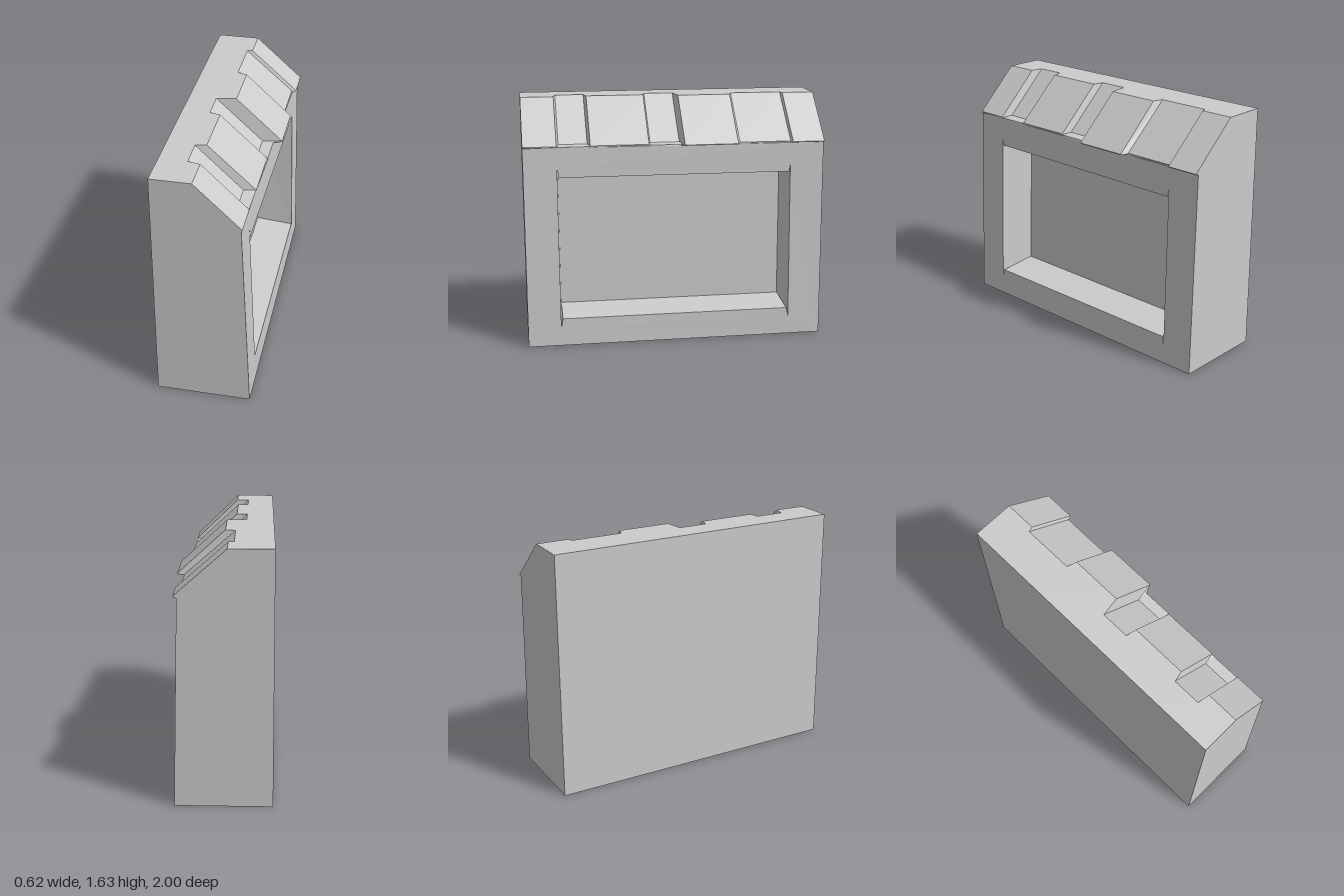
import * as THREE from 'three';

const material = new THREE.MeshStandardMaterial({ color: 0xcccccc, flatShading: true });

const FACE_TOP = 1.335, TOP = 1.63, BACK_X = -0.315, BACK_TOP_X = -0.31;

// x of the slightly twisted, leaning panel face
const faceX = (y, z) => 0.3 - (y / FACE_TOP) * (0.045 + 0.015 * z);

// Mesh from convex polygons, each a counter-clockwise list of [x, y, z]
function polygonMesh(name, polygons) {
  const pos = [];
  for (const p of polygons)
    for (let i = 1; i < p.length - 1; i++) pos.push(...p[0], ...p[i], ...p[i + 1]);
  const geo = new THREE.BufferGeometry();
  geo.setAttribute('position', new THREE.Float32BufferAttribute(pos, 3));
  geo.computeVertexNormals();
  const mesh = new THREE.Mesh(geo, material);
  mesh.name = name;
  return mesh;
}

// Roof strips: [z start, z end, x at the crown, x at the slope's foot, x at the eave]
const strips = [
  [-1.0, -0.785, -0.03, 0.292, 0.292],
  [-0.775, -0.43, -0.065, 0.262, 0.262],
  [-0.41, -0.055, 0.0, 0.31, 0.31],
  [-0.035, 0.16, -0.13, 0.18, 0.252],
  [0.175, 0.56, -0.06, 0.248, 0.248],
  [0.575, 0.765, -0.13, 0.17, 0.244],
  [0.78, 1.0, -0.05, 0.246, 0.246],
];

// Roof profile at one z: back edge, crown, slope foot, eave, top of face
function roofProfile(z, crown, foot, eave) {
  return [
    [BACK_TOP_X, TOP, z],
    [crown, TOP, z],
    [foot, 1.345, z],
    [eave, 1.34, z],
    [faceX(FACE_TOP, z), FACE_TOP, z],
  ];
}

export function createModel() {
  const group = new THREE.Group();

  // Stepped roof: profiles lofted along z
  const rows = strips.flatMap(([z0, z1, ...x]) => [roofProfile(z0, ...x), roofProfile(z1, ...x)]);
  const roof = [];
  for (let r = 0; r < rows.length - 1; r++)
    for (let i = 0; i < 4; i++)
      roof.push([rows[r][i], rows[r + 1][i], rows[r + 1][i + 1], rows[r][i + 1]]);
  group.add(polygonMesh('steppedRoof', roof));

  // Back, base and the two end walls
  const endWall = (row, z) => [[BACK_X, 0, z], [0.3, 0, z], ...[...row].reverse()];
  const backWall = [[BACK_X, 0, -1], [BACK_X, 0, 1], [BACK_TOP_X, TOP, 1], [BACK_TOP_X, TOP, -1]];
  const base = [[BACK_X, 0, -1], [0.3, 0, -1], [0.3, 0, 1], [BACK_X, 0, 1]];
  group.add(polygonMesh('bodyWalls', [
    endWall(rows[rows.length - 1], 1),
    endWall(rows[0], -1).reverse(),
    backWall,
    base,
  ]));

  // Opening outline as [z, y], with thin notches at its corners
  const opening = [
    [0.78, 0.12], [0.768, 0.185], [-0.768, 0.185], [-0.78, 0.13],
    [-0.775, 1.19], [-0.768, 1.14], [0.768, 1.14], [0.78, 1.2],
  ];

  // Face frame around the opening
  const toPoint = ([z, y]) => new THREE.Vector2(-z, y);
  const shape = new THREE.Shape([[1, 0], [-1, 0], [-1, FACE_TOP], [1, FACE_TOP]].map(toPoint));
  shape.holes.push(new THREE.Path(opening.map(toPoint)));
  const frameGeo = new THREE.ShapeGeometry(shape);
  const p = frameGeo.attributes.position;
  for (let i = 0; i < p.count; i++) {
    const z = -p.getX(i), y = p.getY(i);
    p.setXYZ(i, faceX(y, z), y, z);
  }
  frameGeo.computeVertexNormals();
  const frame = new THREE.Mesh(frameGeo, material);
  frame.name = 'faceFrame';
  group.add(frame);

  // Recess: walls tapering to a sunken panel
  const sunken = (z, y) => [faceX(y, z) - 0.265, y, z];
  const panel = [sunken(0.765, 0.21), sunken(-0.765, 0.21), sunken(-0.765, 1.12), sunken(0.765, 1.12)];
  const outer = opening.map(([z, y]) => [faceX(y, z), y, z]);
  const inner = [0, 0, 1, 1, 2, 2, 3, 3].map((i) => panel[i]);
  const walls = outer.map((a, i) => {
    const j = (i + 1) % outer.length;
    return [a, outer[j], inner[j], inner[i]];
  });
  group.add(polygonMesh('recessWalls', walls));
  group.add(polygonMesh('recessPanel', [panel]));

  return group;
}
